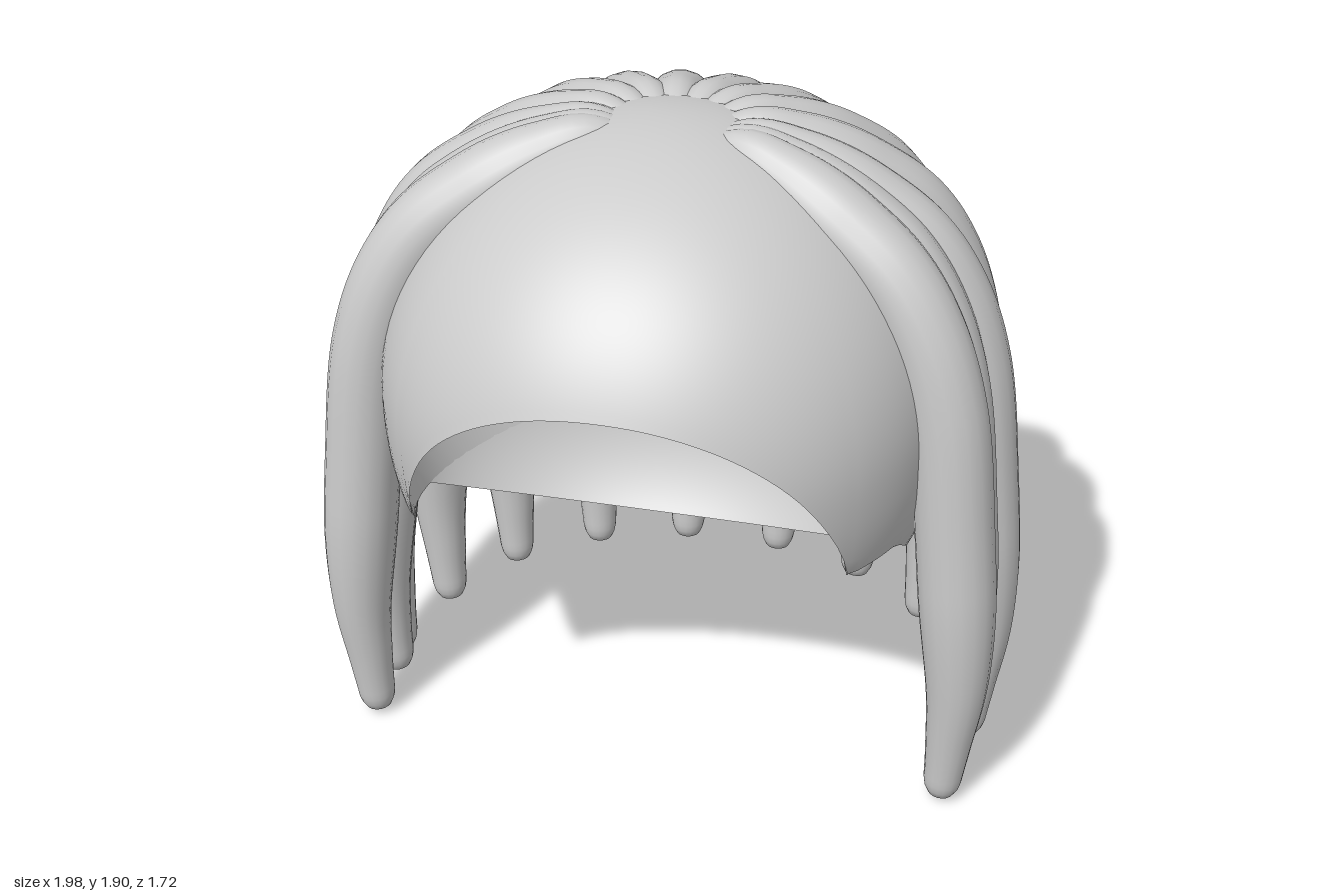
import * as THREE from 'three';
import { mergeVertices, toCreasedNormals } from 'three/addons/utils/BufferGeometryUtils.js';

const { lerp, smoothstep, clamp } = THREE.MathUtils;
const MID_Z = 0.1; // centre of the crown
const MID_Y = 1.15; // widest height of the dome
const HEIGHT = 0.75;
const CORNER = 0.845; // azimuth where the face arch meets the underside
const HOLLOW = new THREE.Vector3(0, 1.1, 0.5); // centre and half-axes of the face hollow
const HOLLOW_SIZE = new THREE.Vector3(0.651, 0.552, 0.441);

// Dome point at an azimuth (0 = front, towards +x) and height
function domePoint(a, y) {
  const n = 2.1, s = Math.sin(a), c = Math.cos(a);
  const rz = c > 0 ? 0.82 : 0.73;
  const r = 1 / Math.pow(Math.pow(Math.abs(s) / 0.78, n) + Math.pow(Math.abs(c) / rz, n), 1 / n);
  const m = y > MID_Y ? 2 : 2.3; // fuller below the middle
  const f = Math.pow(Math.max(0, 1 - Math.pow(Math.abs(y - MID_Y) / HEIGHT, m)), 1 / m);
  return new THREE.Vector3(s * r * f, y, MID_Z + c * r * f);
}

// Cut below the dome: level nape, slope up to level cheeks, steep face plane
const cutY = (z) => 0.6 + 0.3 * clamp(z / 0.45, 0, 1) + 2.05 * Math.max(0, z - 0.616);

// Height where the dome meets the cut
function edgeY(a) {
  let lo = 0.5, hi = MID_Y + HEIGHT;
  for (let i = 0; i < 40; i++) {
    const y = (lo + hi) / 2;
    if (y > cutY(domePoint(a, y).z)) hi = y; else lo = y;
  }
  return hi;
}

// Rim of the face hollow: the arch in front, a low curve across the underside
function lipPoint(a, edge) {
  const b = Math.abs(a);
  if (b <= CORNER) return edge.clone();
  const t = (b - CORNER) / (Math.PI - CORNER) * Math.PI / 2;
  const z = lerp(0.616, 0.18, Math.sin(t));
  const y = cutY(z);
  const rest = 1 - ((y - HOLLOW.y) / HOLLOW_SIZE.y) ** 2 - ((z - HOLLOW.z) / HOLLOW_SIZE.z) ** 2;
  return new THREE.Vector3(Math.sign(a) * HOLLOW_SIZE.x * Math.sqrt(Math.max(0, rest)), y, z);
}

// Over the dome, then inwards along the underside
function shellColumn(a) {
  const pts = [];
  const yEdge = edgeY(a);
  const phiEdge = Math.acos((yEdge - MID_Y) / HEIGHT);
  for (let i = 0; i < 32; i++) pts.push(domePoint(a, MID_Y + HEIGHT * Math.cos(phiEdge * i / 32)));
  const edge = domePoint(a, yEdge);
  const lip = lipPoint(a, edge);
  pts.push(edge);
  for (let i = 1; i <= 10; i++) {
    const p = edge.clone().lerp(lip, i / 10);
    p.y = Math.abs(a) > CORNER ? cutY(p.z) : edge.y;
    pts.push(p);
  }
  return pts;
}

// From the rim round the ellipsoid hollow to its deepest point
function hollowColumn(a) {
  const q = lipPoint(a, domePoint(a, edgeY(a))).sub(HOLLOW).divide(HOLLOW_SIZE);
  const reach = q.length();
  const start = Math.acos(-q.z / reach);
  const across = Math.atan2(q.y, q.x);
  const pts = [];
  for (let i = 0; i <= 20; i++) {
    const w = start * (1 - i / 20);
    const r = lerp(reach, 1, smoothstep(i / 20, 0, 0.8));
    const p = new THREE.Vector3(Math.sin(w) * Math.cos(across), Math.sin(w) * Math.sin(across), -Math.cos(w));
    pts.push(p.multiplyScalar(r).multiply(HOLLOW_SIZE).add(HOLLOW));
  }
  return pts;
}

// Surface through one column of points per azimuth
function loft(column) {
  const angles = [];
  for (let i = 0; i < 48; i++) angles.push(lerp(-Math.PI, -CORNER, i / 48));
  for (let i = -24; i <= 24; i++) angles.push(CORNER * i / 24);
  for (let i = 1; i <= 48; i++) angles.push(lerp(CORNER, Math.PI, i / 48));
  const columns = angles.map(column);
  const rows = columns[0].length;
  const pos = [], index = [];
  columns.forEach((col, j) => {
    col.forEach((p, i) => {
      pos.push(p.x, p.y, p.z);
      if (j === columns.length - 1 || i === rows - 1) return;
      const q = j * rows + i;
      index.push(q, q + 1, q + rows, q + rows, q + 1, q + rows + 1);
    });
  });
  const g = new THREE.BufferGeometry();
  g.setAttribute('position', new THREE.Float32BufferAttribute(pos, 3));
  g.setIndex(index);
  const merged = mergeVertices(g, 1e-5);
  merged.computeVertexNormals();
  return merged;
}

// Strand path as [share of the outward reach, height]
const PATH = [[0.1, 1.8], [0.24, 1.835], [0.37, 1.795], [0.53, 1.715], [0.71, 1.6], [0.82, 1.46],
  [0.9, 1.26], [0.955, 0.9], [1, 0.42], [0.99, 0.2], [0.975, 0]];

// Tapering tube from the crown to a rounded tip
function strandGeometry(x, z, tipY) {
  const curve = new THREE.CatmullRomCurve3(PATH.map(([u, y]) =>
    new THREE.Vector3(x * u, Math.max(y, tipY), MID_Z + (z - MID_Z) * u)));
  const segs = 100, sides = 18;
  const g = new THREE.TubeGeometry(curve, segs, 1, sides);
  const length = curve.getLength();
  const pos = g.attributes.position;
  const v = new THREE.Vector3();
  for (let i = 0; i < pos.count; i++) {
    const t = Math.floor(i / (sides + 1)) / segs;
    const left = (1 - t) * length;
    const taper = lerp(0.048, 0.106, smoothstep(left, -0.1, 0.75));
    const root = lerp(0.5, 1, smoothstep(t * length, 0, 0.45));
    const cap = Math.sqrt(Math.max(0, 1 - (1 - Math.min(left / 0.07, 1)) ** 2));
    const centre = curve.getPointAt(t);
    v.fromBufferAttribute(pos, i).sub(centre).multiplyScalar(taper * root * cap).add(centre);
    pos.setXYZ(i, v.x, v.y, v.z);
  }
  g.deleteAttribute('uv');
  g.deleteAttribute('normal');
  const merged = mergeVertices(g, 1e-5);
  merged.computeVertexNormals();
  return merged;
}

// Widest centre [x, z] and tip height of each strand on the left, front to back
const STRANDS = [[0.865, 0.365, 0], [0.855, 0.215, 0.04], [0.9, 0.065, 0], [0.835, -0.23, 0],
  [0.685, -0.49, 0], [0.445, -0.67, 0], [0.157, -0.765, 0]];

export function createModel() {
  const model = new THREE.Group();
  model.name = 'hair';
  const material = new THREE.MeshStandardMaterial({ color: 0xcccccc });

  const cap = new THREE.Mesh(toCreasedNormals(loft(shellColumn), 0.6), material);
  cap.name = 'cap';
  const hollow = new THREE.Mesh(loft(hollowColumn), material);
  hollow.name = 'faceHollow';
  model.add(cap, hollow);

  for (const side of [1, -1]) {
    const group = new THREE.Group();
    group.name = side > 0 ? 'leftStrands' : 'rightStrands';
    STRANDS.forEach(([x, z, tipY], i) => {
      const strand = new THREE.Mesh(strandGeometry(side * x, z, tipY), material);
      strand.name = `strand${i + 1}`;
      group.add(strand);
    });
    model.add(group);
  }
  return model;
}
